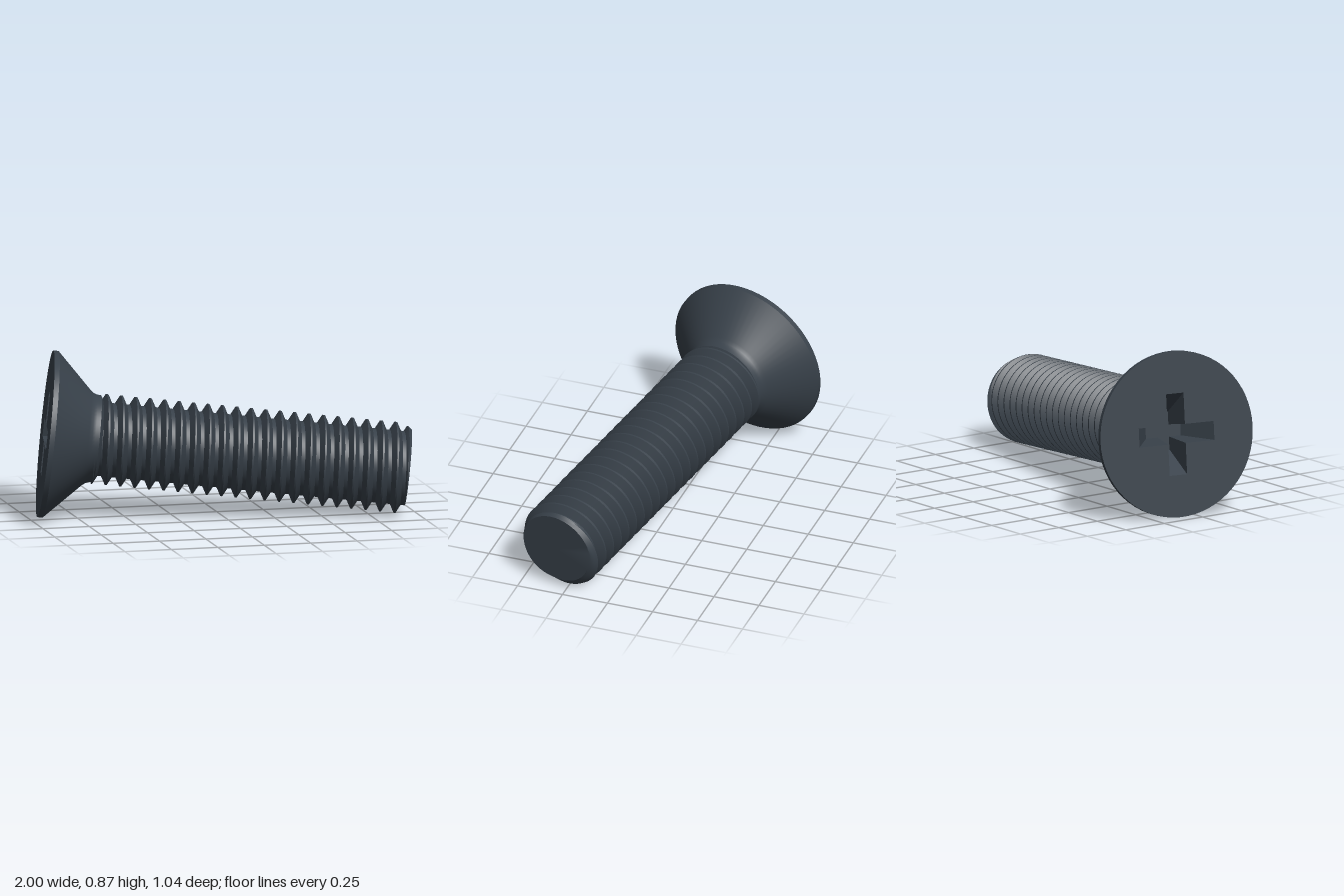
import * as THREE from 'three';
import { toCreasedNormals } from 'three/addons/utils/BufferGeometryUtils.js';

const SEG = 64, TAU = Math.PI * 2;
const HEAD_R = 0.437, CREST_R = 0.237, ROOT_R = 0.193, TIP_R = 0.206;
const START = 0.258, END = 1.903, PITCH = 0.0758, CREST_AT = 1.82;

// Collects triangles and quads into a geometry
function makeSurface(build) {
  const pos = [];
  const tri = (...pts) => pts.forEach((p) => pos.push(...p));
  build(tri, (a, b, c, d) => { tri(a, b, c); tri(a, c, d); });
  const g = new THREE.BufferGeometry();
  g.setAttribute('position', new THREE.Float32BufferAttribute(pos, 3));
  g.computeVertexNormals();
  return g;
}

// Thread radius at distance t along the axis and angle a: flat crest, sloped flanks, flat root
function threadRadius(t, a) {
  const turns = (t - CREST_AT) / PITCH - a / TAU;
  const off = Math.abs(turns - Math.round(turns));
  const k = THREE.MathUtils.clamp((off - 1 / 16) / (5 / 16), 0, 1);
  const r = CREST_R + (ROOT_R - CREST_R) * k;
  return Math.min(r, TIP_R + (END - t) * 0.8);
}

function threadPoint(t, a) {
  const tc = THREE.MathUtils.clamp(t, START, END);
  const r = threadRadius(tc, a);
  return [-Math.sin(a) * r, Math.cos(a) * r, tc];
}

// Right-hand helical thread, rows following the helix, closed by a flat tip
function threadGeometry() {
  const rows = [];
  for (let n = -23; n <= 3; n++)
    for (const f of [1, 2.7, 4.3, 6, 10, 11.7, 13.3, 15]) rows.push(CREST_AT + (n + f / 16) * PITCH);
  return makeSurface((tri, quad) => {
    for (let i = 0; i < SEG; i++) {
      const a = (i / SEG) * TAU, b = ((i + 1) / SEG) * TAU;
      const da = (a / TAU) * PITCH, db = (b / TAU) * PITCH;
      for (let j = 0; j < rows.length - 1; j++) {
        const lo = rows[j], hi = rows[j + 1];
        if (hi + db <= START || lo + da >= END) continue;
        quad(threadPoint(lo + da, a), threadPoint(lo + db, b), threadPoint(hi + db, b), threadPoint(hi + da, a));
      }
      tri([0, 0, END], threadPoint(END, a), threadPoint(END, b));
    }
  });
}

// Cross outline, counter-clockwise
function crossOutline(len, w) {
  const pts = [];
  for (let q = 0; q < 4; q++) {
    const c = Math.round(Math.cos(q * Math.PI / 2)), s = Math.round(Math.sin(q * Math.PI / 2));
    for (const [x, y] of [[len, -w], [len, w], [w, w]]) pts.push([x * c - y * s, x * s + y * c]);
  }
  return pts;
}

// Tapered cross socket sinking into the head
function recessGeometry(top, floor, depth) {
  return makeSurface((tri, quad) => {
    top.forEach((p, i) => {
      const k = (i + 1) % top.length;
      const b0 = [...floor[i], depth], b1 = [...floor[k], depth];
      quad([...p, 0], b0, b1, [...top[k], 0]);
      tri([0, 0, depth], b1, b0);
    });
  });
}

export function createModel() {
  const steel = new THREE.MeshStandardMaterial({ color: 0x38414a });
  steel.name = 'dark steel';
  const model = new THREE.Group();
  model.name = 'countersunkScrew';
  const screw = new THREE.Group();
  screw.name = 'screw';
  model.add(screw);
  const add = (name, geometry) => {
    const m = new THREE.Mesh(geometry, steel);
    m.name = name;
    screw.add(m);
  };

  // Head: thin rim, countersunk cone and short neck
  const profile = [[HEAD_R, 0], [HEAD_R, 0.027], [0.25, 0.214], [0.236, 0.232], [0.23, 0.25], [0.228, 0.272], [0.19, 0.29]]
    .map(([r, t]) => new THREE.Vector2(r, t));
  add('headAndNeck', toCreasedNormals(new THREE.LatheGeometry(profile, SEG).rotateX(Math.PI / 2), 0.5));

  // Flat head face with the cross opening
  const top = crossOutline(0.215, 0.05);
  const face = new THREE.Shape().absarc(0, 0, HEAD_R, 0, TAU);
  face.holes.push(new THREE.Path(top.map(([x, y]) => new THREE.Vector2(x, y)).reverse()));
  add('headFace', new THREE.ShapeGeometry(face, SEG / 2).rotateY(Math.PI));
  add('crossRecess', recessGeometry(top, crossOutline(0.1, 0.032), 0.17));

  // Shank
  add('threadedShank', toCreasedNormals(threadGeometry(), 0.5));

  // Tilt so the screw's axis runs right, slightly down and forward
  const axis = new THREE.Vector3(0.973, -0.1045, 0.206).normalize();
  const side = new THREE.Vector3(0, 1, 0).cross(axis).normalize();
  const up = axis.clone().cross(side);
  screw.quaternion.setFromRotationMatrix(new THREE.Matrix4().makeBasis(side, up, axis));
  screw.position.set(-0.899, 0.438, -0.095);
  return model;
}
